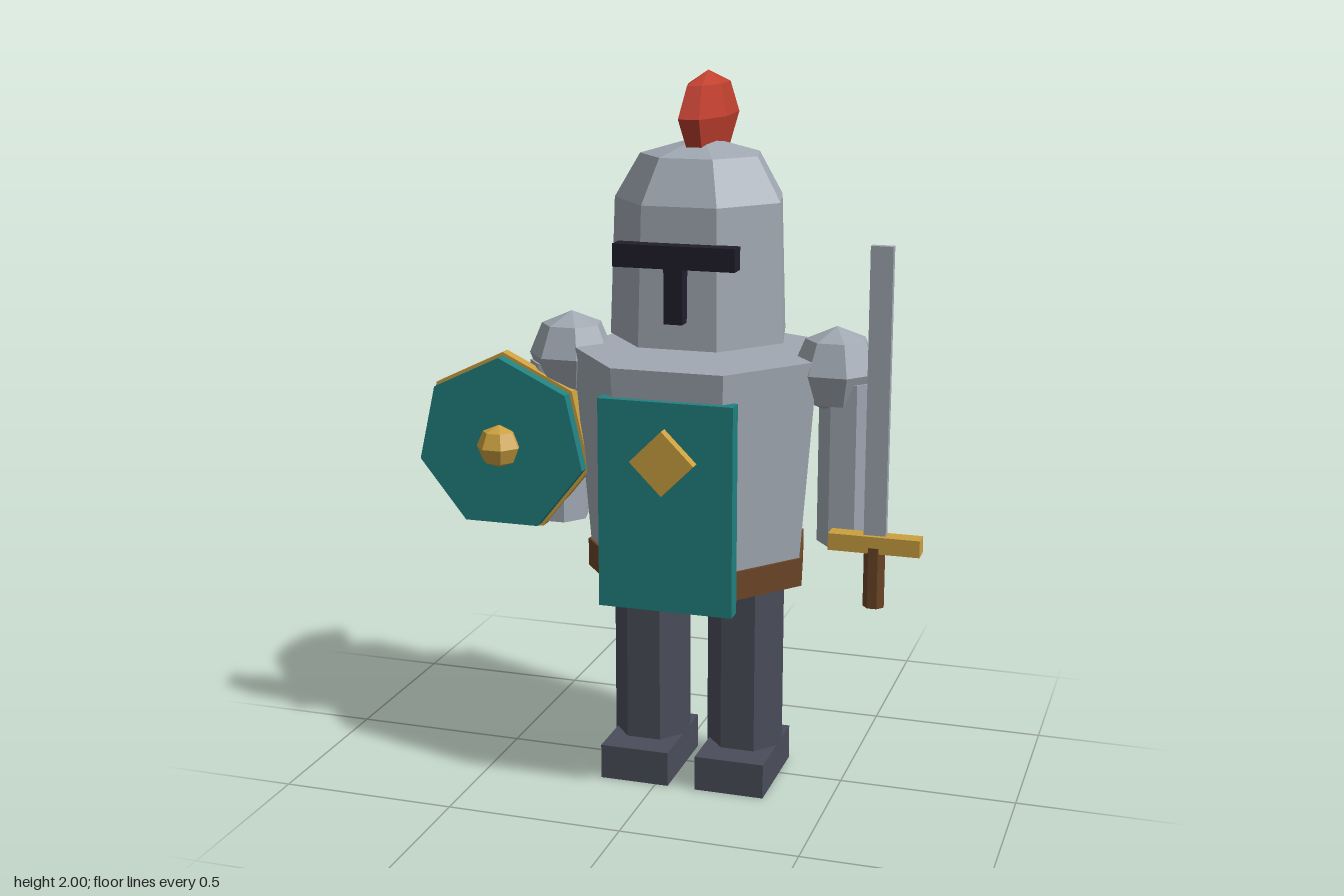
import * as THREE from 'three';

const mat = (name, color) => {
  const m = new THREE.MeshStandardMaterial({ color, flatShading: true });
  m.name = name;
  return m;
};

export function createModel() {
  const steel = mat('steel', 0xa0a8b2);
  const dark = mat('dark cloth', 0x4a4d5a);
  const teal = mat('teal', 0x218080);
  const gold = mat('gold', 0xcba040);
  const brown = mat('brown leather', 0x6b4426);
  const red = mat('red', 0xc0402f);
  const black = mat('visor black', 0x201e2c);

  const SIDES = 7;
  const CX = 0.077; // centre line of the body
  const model = new THREE.Group();
  model.name = 'knight';

  const add = (name, geo, material, x, y, z) => {
    const mesh = new THREE.Mesh(geo, material);
    mesh.name = name;
    mesh.position.set(x, y, z);
    model.add(mesh);
    return mesh;
  };
  const box = (name, material, w, h, d, x, y, z) =>
    add(name, new THREE.BoxGeometry(w, h, d), material, x, y, z);
  // Seven-sided column with a corner at the back and a flat at the front
  const column = (name, material, rTop, rBottom, y0, y1, x, z) =>
    add(name, new THREE.CylinderGeometry(rTop, rBottom, y1 - y0, SIDES).rotateY(Math.PI),
      material, x, (y0 + y1) / 2, z);
  // Turned seven-sided solid from a profile listed bottom to top
  const turned = (name, material, profile, x, y, z) =>
    add(name, new THREE.LatheGeometry(profile.map(p => new THREE.Vector2(...p)), SIDES).rotateY(Math.PI),
      material, x, y, z);
  const k = Math.SQRT1_2;
  const ballProfile = [[0, -1], [k, -k], [1, 0], [k, k], [0, 1]];
  const ball = (name, material, rx, ry, rz, x, y, z) => {
    const mesh = turned(name, material, ballProfile, x, y, z);
    mesh.geometry.scale(rx, ry, rz);
    return mesh;
  };

  // Body
  column('torso', steel, 0.36, 0.308, 0.61, 1.24, CX, -0.003);
  column('belt', brown, 0.322, 0.322, 0.6, 0.68, CX, -0.003);
  box('tabard', teal, 0.375, 0.58, 0.048, CX, 0.87, 0.312);
  box('tabardDiamond', gold, 0.126, 0.126, 0.04, CX, 1, 0.347).rotation.z = Math.PI / 4;

  // Helmet with domed top, visor slit and plume
  turned('helmet', steel,
    [[0, 1.28], [0.254, 1.28], [0.24, 1.66], [0.17, 1.78], [0, 1.828]], CX, 0, -0.005);
  box('visorSlit', black, 0.337, 0.062, 0.053, CX, 1.533, 0.236);
  box('visorBreath', black, 0.052, 0.15, 0.053, CX, 1.43, 0.236);
  ball('plume', red, 0.067, 0.12, 0.205, CX, 1.88, -0.059);

  // Limbs
  for (const [side, s] of [['left', 1], ['right', -1]]) {
    ball(side + 'Shoulder', steel, 0.122, 0.122, 0.122, CX + s * 0.384, 1.203, -0.006);
    column(side + 'Arm', steel, 0.083, 0.083, 0.72, 1.18, CX + s * 0.423, -0.003);
    column(side + 'Leg', dark, 0.113, 0.113, 0.08, 0.605, CX + s * 0.14, -0.003);
    box(side + 'Boot', dark, 0.2, 0.1, 0.3, CX + s * 0.14, 0.05, 0.035);
  }

  // Sword in the left hand
  box('swordBlade', steel, 0.06, 0.79, 0.022, 0.611, 1.178, 0.145);
  box('swordGuard', gold, 0.25, 0.047, 0.05, 0.611, 0.768, 0.145);
  column('swordGrip', brown, 0.03, 0.03, 0.59, 0.76, 0.611, 0.145);

  // Shield on the right arm: gold backing, teal face, gold boss
  const disc = (name, material, r, z0, z1) =>
    add(name, new THREE.CylinderGeometry(r, r, z1 - z0, SIDES).rotateX(-Math.PI / 2),
      material, -0.483, 0.947, (z0 + z1) / 2);
  disc('shieldBack', gold, 0.264, 0.05, 0.086);
  disc('shieldFace', teal, 0.254, 0.084, 0.122);
  ball('shieldBoss', gold, 0.065, 0.062, 0.065, -0.483, 0.947, 0.126);

  return model;
}
